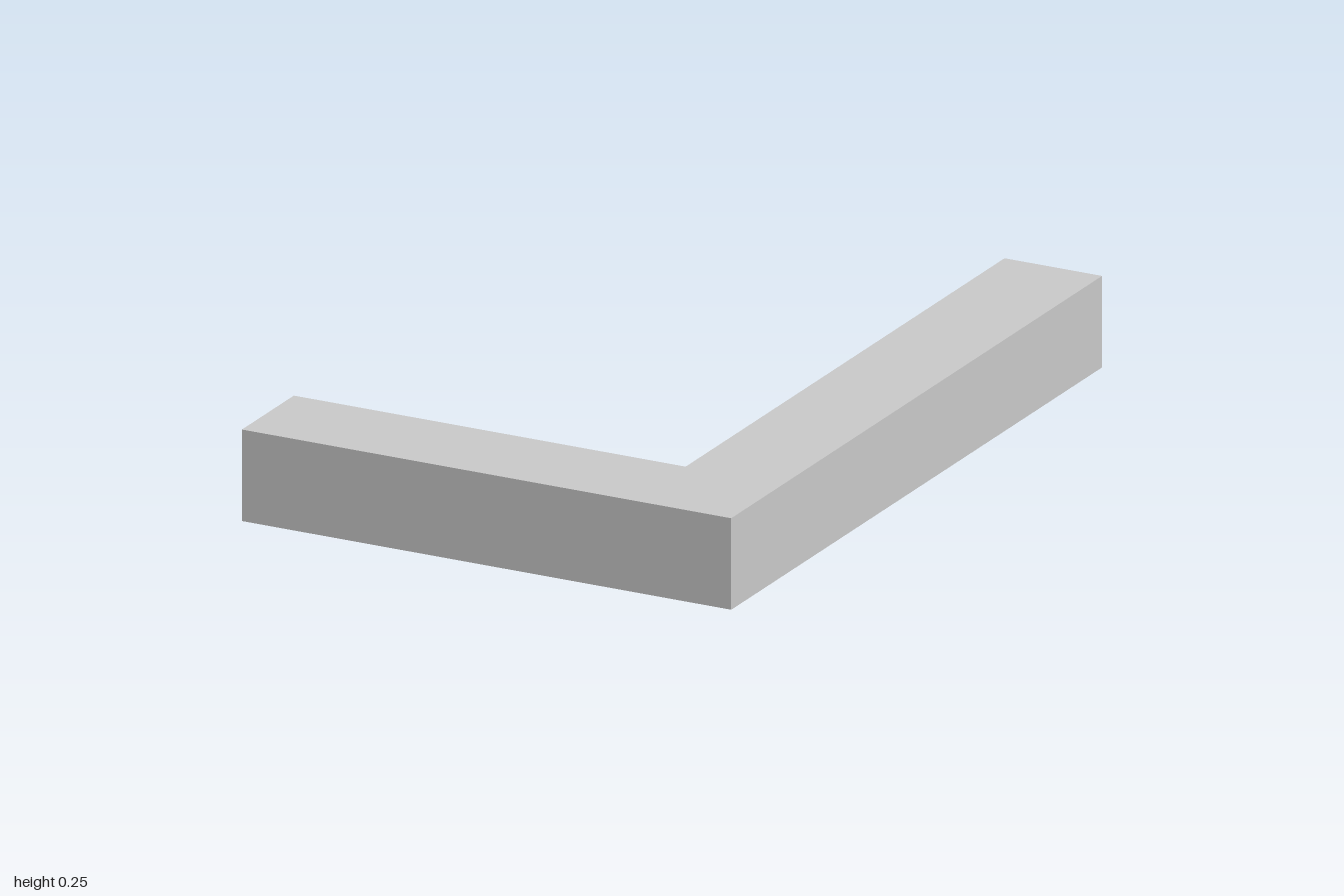
import * as THREE from 'three';

const H = 0.245;              // cabinet height
const T = 0.01;               // board thickness
const X = 0.695, Z = 1;       // outer half extents
const XI = 0.418, ZI = 0.72;  // inner faces of the long and the short wing

export function createModel() {
  const root = new THREE.Group();
  const material = new THREE.MeshStandardMaterial({ color: 0xcccccc });

  const add = (name, geometry) => {
    const mesh = new THREE.Mesh(geometry, material);
    mesh.name = name;
    root.add(mesh);
    return mesh;
  };

  // upright board spanning x0..x1 and z0..z1 between bottom and top
  const board = (name, x0, x1, z0, z1) =>
    add(name, new THREE.BoxGeometry(x1 - x0, H - 2 * T, z1 - z0))
      .position.set((x0 + x1) / 2, H / 2, (z0 + z1) / 2);

  // L-shaped bottom and top
  const plan = new THREE.Shape([
    [-X, ZI], [XI, ZI], [XI, -Z], [X, -Z], [X, Z], [-X, Z],
  ].map(([x, z]) => new THREE.Vector2(x, z)));
  const slab = new THREE.ExtrudeGeometry(plan, { depth: T, bevelEnabled: false });
  slab.rotateX(Math.PI / 2);
  add('bottom', slab).position.y = T;
  add('top', slab).position.y = H;

  // outer back walls
  board('longWingBack', X - T, X, -Z, Z);
  board('shortWingBack', -X, X - T, Z - T, Z);

  // long wing: seven bays, the end one closed by a door
  const longBays = 7, longStep = (ZI + Z) / longBays;
  board('longWingEnd', XI, X - T, -Z, -Z + T);
  for (let i = 1; i < longBays; i++) {
    const z = -Z + i * longStep;
    board('longWingDivider', XI, X - T, z - 0.8 * T, z + 0.8 * T);
  }
  board('longWingCornerPanel', XI, X - T, ZI - T, ZI);
  board('longWingDoor', XI, XI + T, -Z + T, -Z + longStep);

  // short wing: four bays, the second from the free end closed by a door
  const shortBays = 4, shortStep = (XI + X) / shortBays;
  board('shortWingEnd', -X, -X + T, ZI, Z - T);
  for (let i = 1; i < shortBays; i++) {
    const x = -X + i * shortStep;
    board('shortWingDivider', x - 0.8 * T, x + 0.8 * T, ZI, Z - T);
  }
  board('shortWingCornerPanel', XI - T, XI, ZI, Z - T);
  board('shortWingDoor', -X + shortStep, -X + 2 * shortStep, ZI, ZI + T);

  return root;
}
